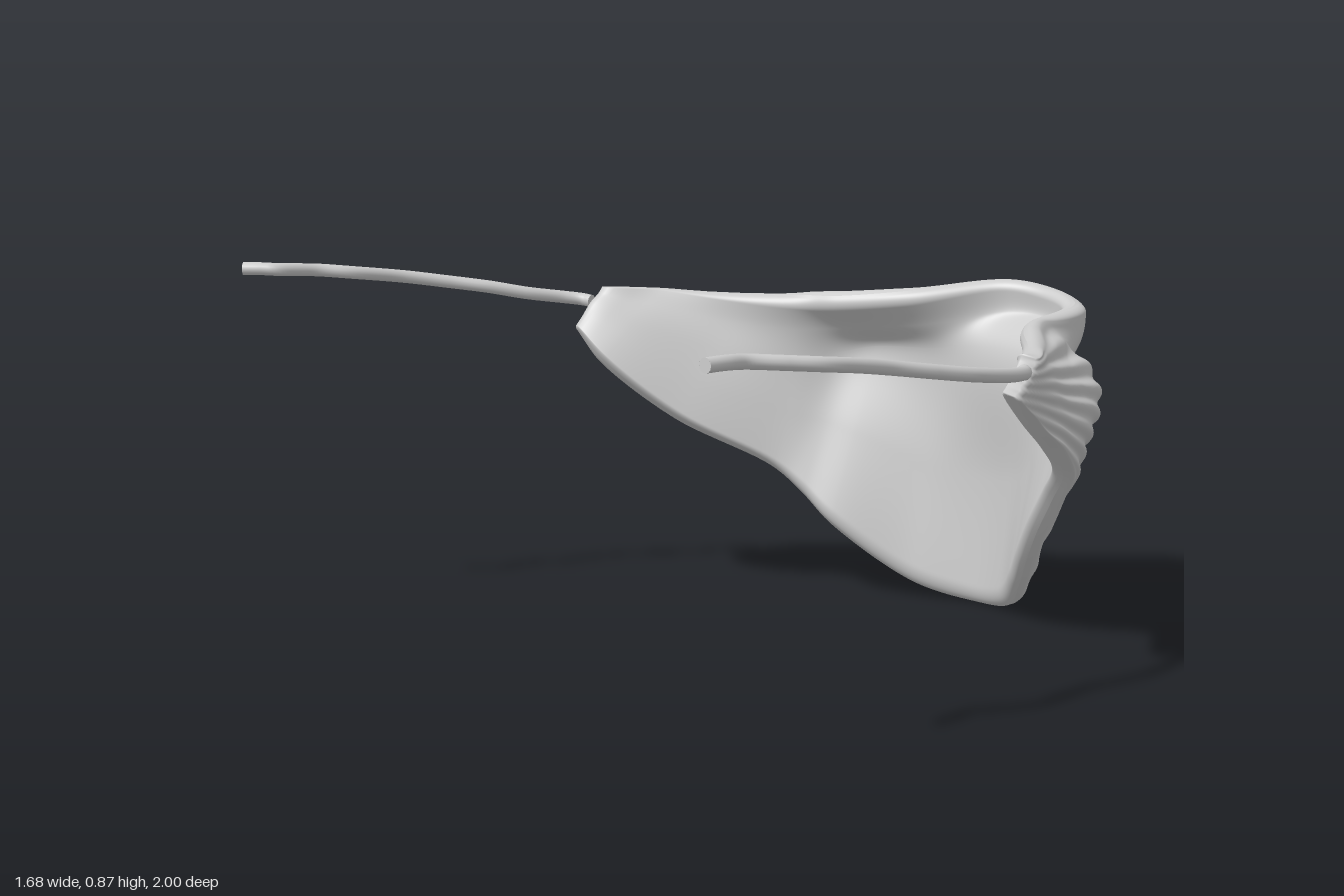
import * as THREE from 'three';

const V = (x, y, z) => new THREE.Vector3(x, y, z);

// Cloth stations from one ear to the other: z, top x/y, fold x/y, bottom x/y
const STATIONS = [
  [-0.735, 0.05, 0.77, 0.01, 0.725, -0.03, 0.67],
  [-0.66, 0.19, 0.76, 0.10, 0.68, 0.00, 0.59],
  [-0.55, 0.31, 0.755, 0.265, 0.61, 0.15, 0.445],
  [-0.43, 0.395, 0.755, 0.435, 0.59, 0.36, 0.32],
  [-0.37, 0.43, 0.757, 0.54, 0.61, 0.41, 0.255],
  [-0.30, 0.46, 0.76, 0.60, 0.63, 0.45, 0.18],
  [-0.15, 0.57, 0.78, 0.672, 0.635, 0.595, 0.04],
  [0.00, 0.765, 0.81, 0.707, 0.64, 0.685, 0.002],
  [0.13, 0.805, 0.795, 0.71, 0.64, 0.67, 0.02],
  [0.25, 0.765, 0.775, 0.697, 0.635, 0.60, 0.1],
  [0.33, 0.56, 0.76, 0.667, 0.635, 0.55, 0.175],
  [0.42, 0.455, 0.757, 0.63, 0.63, 0.505, 0.27],
  [0.51, 0.38, 0.755, 0.575, 0.605, 0.475, 0.37],
  [0.57, 0.335, 0.755, 0.50, 0.575, 0.45, 0.43],
  [0.65, 0.27, 0.757, 0.355, 0.60, 0.35, 0.51],
  [0.71, 0.22, 0.76, 0.255, 0.66, 0.24, 0.58],
  [0.78, 0.16, 0.765, 0.14, 0.73, 0.10, 0.68],
];

const COLS = 160, ROWS = 120, HALF = 0.029;

// Lengthwise rails for the top edge, the fold and the bottom edge
const rails = [1, 3, 5].map((k) =>
  new THREE.CatmullRomCurve3(STATIONS.map((s) => V(s[k], s[k + 1], s[0]))));

// Profile of the cloth at one position along the rails, fuller over the nose
function profileAt(s) {
  const [top, fold, bottom] = rails.map((r) => r.getPoint(s));
  const upper = top.clone().lerp(fold, 0.5), mid = fold.clone().lerp(bottom, 0.5);
  const nose = Math.exp(-(((top.z - 0.12) / 0.14) ** 2));
  upper.x += (0.08 + 0.2 * nose) * (top.y - fold.y);
  mid.x += 0.018 * (fold.y - bottom.y);
  return new THREE.CatmullRomCurve3([top, upper, fold, mid, bottom]);
}

// Soft pleats hanging across the front and gathering towards both ears
function pleat(p, t) {
  const hem = THREE.MathUtils.smoothstep(t, 0.05, 0.15) * (1 - THREE.MathUtils.smoothstep(t, 0.93, 1));
  const side = THREE.MathUtils.smoothstep(Math.abs(p.z), 0.25, 0.5);
  const belowNose = 1 - THREE.MathUtils.smoothstep(p.y, 0.61, 0.66);
  const gather = 1 - 1.25 * p.z * p.z;
  const wave = Math.sin(Math.PI * 2 * (0.77 - p.y) / (0.073 * gather));
  return 0.009 * hem * gather * Math.max(side, belowNose) * wave;
}

function clothGeometry() {
  // Middle surface, rows packed closer at both hems
  const grid = [], ts = [];
  for (let j = 0; j <= ROWS; j++) {
    const a = j / ROWS;
    ts.push(0.4 * a + 0.6 * (1 - Math.cos(Math.PI * a)) / 2);
  }
  for (let i = 0; i <= COLS; i++) {
    const c = profileAt(i / COLS);
    grid.push(ts.map((t) => c.getPoint(t)));
  }
  // Thicken into an outer and an inner skin, rounded at the hems
  const pos = [], idx = [], ring = 2 * (ROWS + 1);
  for (let i = 0; i <= COLS; i++) {
    const outer = [], inner = [];
    const ear = Math.min(1, Math.min(i, COLS - i) / 5);
    const thick = HALF * (0.55 + 0.45 * Math.sqrt(1 - (1 - ear) ** 2));
    for (let j = 0; j <= ROWS; j++) {
      const p = grid[i][j], t = ts[j];
      const du = grid[Math.min(i + 1, COLS)][j].clone().sub(grid[Math.max(i - 1, 0)][j]);
      const dv = grid[i][Math.min(j + 1, ROWS)].clone().sub(grid[i][Math.max(j - 1, 0)]);
      const n = du.cross(dv).normalize();
      const edge = Math.min(1, t / 0.07, (1 - t) / 0.035);
      const h = thick * Math.sqrt(1 - (1 - edge) ** 2);
      outer.push(p.clone().addScaledVector(n, h + pleat(p, t)));
      inner.push(p.clone().addScaledVector(n, -h));
    }
    for (const p of [...outer, ...inner.reverse()]) pos.push(p.x, p.y, p.z);
  }
  for (let i = 0; i < COLS; i++) {
    for (let j = 0; j < ring; j++) {
      const a = i * ring + j, b = i * ring + (j + 1) % ring;
      idx.push(a, a + ring, b, b, a + ring, b + ring);
    }
  }
  // Close the two ear ends
  const last = COLS * ring;
  for (let j = 0; j < ROWS; j++) {
    const a = j, b = j + 1, c = ring - 1 - j, d = ring - 2 - j;
    idx.push(a, b, c, b, d, c);
    idx.push(last + a, last + c, last + b, last + b, last + c, last + d);
  }
  const g = new THREE.BufferGeometry();
  g.setAttribute('position', new THREE.Float32BufferAttribute(pos, 3));
  g.setIndex(idx);
  g.computeVertexNormals();
  return g;
}

// Tie cord with flat closed ends
function cord(points, name, material) {
  const r = 0.016, group = new THREE.Group();
  group.name = name;
  const curve = new THREE.CatmullRomCurve3(points.map((p) => V(...p)));
  group.add(new THREE.Mesh(new THREE.TubeGeometry(curve, 90, r, 12), material));
  for (const end of [0, 1]) {
    const cap = new THREE.Mesh(new THREE.CircleGeometry(r, 12), material);
    const p = curve.getPoint(end);
    cap.position.copy(p);
    cap.lookAt(p.clone().addScaledVector(curve.getTangent(end), end ? 1 : -1));
    group.add(cap);
  }
  group.children.forEach((m, i) => { m.name = i ? 'cordEnd' : 'cordLength'; });
  return group;
}

export function createModel() {
  const model = new THREE.Group();
  model.name = 'faceScarf';
  const cloth = new THREE.MeshStandardMaterial({ color: 0xcccccc, side: THREE.DoubleSide });
  cloth.name = 'paleGreyCloth';

  const mask = new THREE.Mesh(clothGeometry(), cloth);
  mask.name = 'pleatedMask';
  model.add(mask);

  model.add(cord([
    [0.145, 0.73, 0.78], [0.12, 0.732, 0.81], [0.04, 0.74, 0.855], [-0.1, 0.76, 0.905],
    [-0.22, 0.779, 0.92], [-0.33, 0.797, 0.927], [-0.45, 0.817, 0.958], [-0.56, 0.832, 0.98],
    [-0.64, 0.84, 0.965], [-0.72, 0.847, 0.943], [-0.78, 0.852, 0.958], [-0.84, 0.853, 0.97],
  ], 'leftCord', cloth));
  model.add(cord([
    [0.02, 0.735, -0.74], [0.01, 0.738, -0.765], [-0.03, 0.744, -0.79], [-0.13, 0.76, -0.81],
    [-0.22, 0.779, -0.84], [-0.31, 0.794, -0.88], [-0.42, 0.812, -0.91], [-0.57, 0.833, -0.913],
    [-0.65, 0.842, -0.94], [-0.76, 0.851, -0.94], [-0.79, 0.853, -0.96], [-0.825, 0.853, -0.99],
  ], 'rightCord', cloth));
  return model;
}
